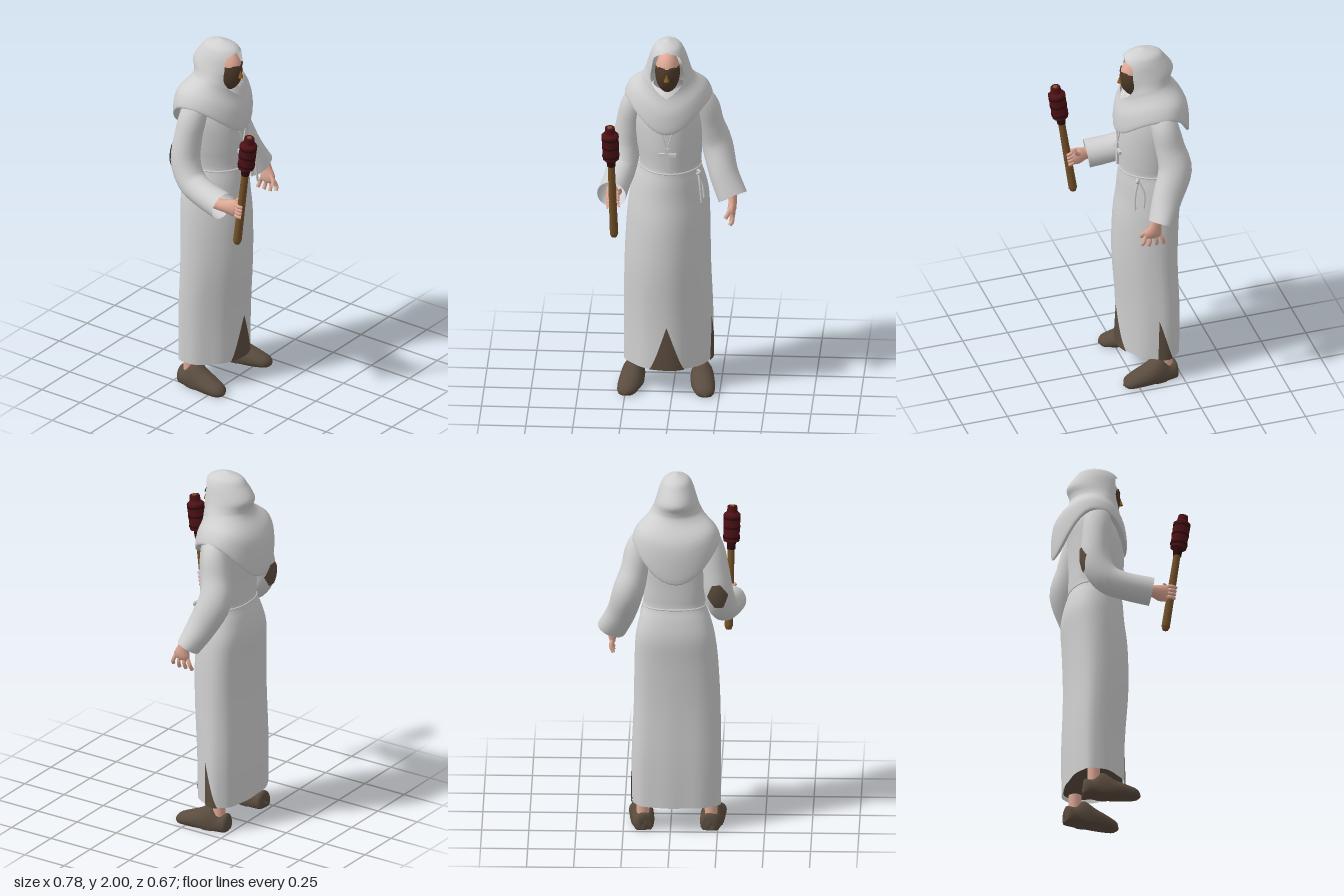
import * as THREE from 'three';
import { mergeVertices } from 'three/addons/utils/BufferGeometryUtils.js';

const TAU = Math.PI * 2;
const mat = (name, color, side = THREE.FrontSide) => {
  const m = new THREE.MeshStandardMaterial({ color, side });
  m.name = name;
  return m;
};
const V = (x, y, z) => new THREE.Vector3(x, y, z);

// Smooth interpolation through rows of numbers; t counts rows
function rowAt(rows, t) {
  const i = Math.min(Math.floor(t), rows.length - 2), f = t - i;
  const r = k => rows[Math.max(0, Math.min(rows.length - 1, k))];
  const [a, b, c, d] = [r(i - 1), r(i), r(i + 1), r(i + 2)];
  return b.map((p, k) => p + 0.5 * f * (c[k] - a[k] + f * (2 * a[k] - 5 * p + 4 * c[k] - d[k]
    + f * (3 * (p - c[k]) + d[k] - a[k]))));
}

// Surface from a function of (t, angle); span(t) gives the angle range
function sheet(fn, t0, t1, nt, na, span = () => [0, TAU]) {
  const pos = [], idx = [];
  for (let i = 0; i <= nt; i++) {
    const t = t0 + (t1 - t0) * i / nt, [a0, a1] = span(t);
    for (let j = 0; j <= na; j++) pos.push(...fn(t, a0 + (a1 - a0) * j / na).toArray());
  }
  for (let i = 0; i < nt; i++) for (let j = 0; j < na; j++) {
    const p = i * (na + 1) + j, q = p + na + 1;
    idx.push(p, p + 1, q + 1, p, q + 1, q);
  }
  let g = new THREE.BufferGeometry();
  g.setAttribute('position', new THREE.Float32BufferAttribute(pos, 3));
  g.setIndex(idx);
  g = mergeVertices(g, 1e-4);
  g.computeVertexNormals();
  return g;
}

// Limb surface: rows are [x, y, z, radius across x, other radius]
const limb = rows => (t, a, off = 0) => {
  const last = rows.length - 1, r = rowAt(rows, t);
  const p = rowAt(rows, Math.max(0, t - 0.1)), q = rowAt(rows, Math.min(last, t + 0.1));
  const d = V(q[0] - p[0], q[1] - p[1], q[2] - p[2]).normalize();
  const u = V(1, 0, 0).addScaledVector(d, -d.x).normalize(), w = d.clone().cross(u);
  return V(r[0], r[1], r[2])
    .addScaledVector(u, (Math.max(0, r[3]) + off) * Math.cos(a))
    .addScaledVector(w, (Math.max(0, r[4]) + off) * Math.sin(a));
};

// Robe body: rows are [centre x, y, centre z, half width, half depth]; angle 0 faces front,
// and the widest part sits behind the middle
const robeRows = [
  [-.035, .14, -.112, .235, .155], [-.032, .4, -.112, .237, .158], [-.035, .7, -.1, .23, .165],
  [-.03, .95, -.105, .222, .167], [-.025, 1.1, -.117, .21, .163], [-.022, 1.2, -.112, .187, .152],
  [-.02, 1.27, -.105, .165, .138], [-.02, 1.33, -.103, .167, .138], [-.025, 1.42, -.1, .175, .14],
  [-.03, 1.55, -.105, .18, .14], [-.03, 1.66, -.12, .155, .13], [-.03, 1.73, -.12, .08, .08]];
const robe = (t, a, off = 0) => {
  const [x, y, z, rx, rz] = rowAt(robeRows, t), s = Math.sin(a);
  const k = 1 + 0.015 * Math.max(0, 1 - t / 3) * Math.sin(9 * a);
  return V(x + (rx * k + off) * s, y, z + (rz * k + off) * Math.cos(a) - .21 * rx * s * s);
};

// Hood and cape: rows add [front drop, back drop, half angle of the face opening]
const hoodRows = [
  [-.03, 1.655, -.14, .2, .165, .13, .17, 0], [-.03, 1.66, -.14, .234, .196, .15, .2, 0],
  [-.03, 1.725, -.138, .208, .19, .11, .065, 0], [-.03, 1.78, -.115, .15, .139, .08, .005, 0],
  [-.03, 1.82, -.113, .125, .135, .08, 0, .75], [-.03, 1.87, -.115, .108, .148, .01, 0, .85],
  [-.03, 1.935, -.1, .087, .122, 0, 0, .75], [-.03, 1.975, -.1, .06, .085, 0, 0, -.5],
  [-.03, 2, -.1, 0, 0, 0, 0, 0]];
const hood = (t, a) => {
  const [x, y, z, rx, rz, df, db] = rowAt(hoodRows, t), c = Math.cos(a), s = Math.sin(a);
  const back = .03 * Math.max(0, Math.min(1, 3.5 - t));
  return V(x + rx * s, Math.min(2, y - (c > 0 ? df * c : db) * c * c), z + rz * c - back * s * s);
};

export function createModel() {
  const root = new THREE.Group();
  root.name = 'robedFigure';
  const cloth = mat('pale cloth', 0xd0d0d0, THREE.DoubleSide);
  const brown = mat('brown cloth', 0x5c4d3f, THREE.DoubleSide);
  const leather = mat('shoe leather', 0x5a4c3f);
  const skin = mat('skin', 0xdfa995);
  const beardMat = mat('beard', 0x4e3a2a);
  const gold = mat('ochre', 0x94621c);
  const wood = mat('wood', 0x75522a);
  const red = mat('dark red', 0x4e1115);
  const dark = mat('charred red', 0x2c0b0d);
  const add = (name, geo, material, parent = root) => {
    const m = new THREE.Mesh(geo, material);
    m.name = name;
    parent.add(m);
    return m;
  };
  const tube = (name, pts, r, material, closed = false) => add(name,
    new THREE.TubeGeometry(new THREE.CatmullRomCurve3(pts, closed), closed ? 48 : 12, r, 6, closed), material);

  // Robe with an inner lining and torn wedges at the hem
  add('robe', sheet(robe, 0, 11, 44, 48), cloth);
  add('robeLining', sheet((t, a) => robe(.12, a, -.01).lerp(V(-.035, .2, -.13), t), 0, 1, 2, 32), brown);
  const wedge = (name, a, w0, w1, top) => add(name, sheet((t, b) => robe(t, b, .006), 0, top, 10, 6,
    t => [a - w0 * (1 - t / top), a + w1 * (1 - t / top)]), brown);
  wedge('frontTear', .01, .38, .42, .96);
  wedge('sideTear', 1.3, .02, .48, .98);

  // Hood and cape
  add('hood', sheet(hood, 0, 8, 40, 40, t => {
    const g = Math.max(0, rowAt(hoodRows, t)[7]);
    return [g, TAU - g];
  }), cloth);

  // Head: bare brow above, beard and shadowed cheeks below
  const headPart = (name, t0, len, m) => {
    const h = add(name, new THREE.SphereGeometry(1, 20, 12, 0, TAU, t0, len), m);
    h.position.set(-.03, 1.83, -.057);
    h.scale.set(.066, .115, .085);
  };
  headPart('forehead', 0, 1.2, skin);
  headPart('beardedFace', 1.2, Math.PI - 1.2, beardMat);
  const nose = add('nose', new THREE.ConeGeometry(.016, .042, 6), gold);
  nose.position.set(-.03, 1.828, .029);
  for (const s of [-1, 1]) {
    const brow = add('brow', new THREE.BoxGeometry(.036, .012, .009), beardMat);
    brow.position.set(-.03 + s * .028, 1.872, .013);
    brow.rotation.set(-.3, s * .4, s * .2);
  }

  // Sleeves
  const leftRows = [[.11, 1.68, -.15, 0, 0], [.13, 1.66, -.15, .055, .06], [.165, 1.59, -.16, .075, .075],
    [.19, 1.48, -.18, .075, .08], [.225, 1.36, -.195, .083, .09], [.262, 1.22, -.14, .078, .08],
    [.315, 1.1, -.085, .08, .062]];
  const rightRows = [[-.17, 1.68, -.14, 0, 0], [-.19, 1.66, -.14, .055, .06], [-.215, 1.59, -.15, .07, .075],
    [-.235, 1.48, -.165, .075, .075], [-.255, 1.35, -.168, .078, .08], [-.275, 1.25, -.115, .078, .078],
    [-.295, 1.21, -.02, .075, .075], [-.317, 1.185, .12, .078, .077]];
  add('leftSleeve', sheet(limb(leftRows), 0, 6, 24, 20), cloth);
  add('rightSleeve', sheet(limb(rightRows), 0, 7, 28, 20), cloth);
  add('elbowPatch', sheet((t, a) => limb(rightRows)(t, a, .006), 3.5, 4.3, 8, 6, t => {
    const w = .75 * (1 - Math.abs(t - 3.9) * 1.6);
    return [4.75 - w, 4.75 + w];
  }), brown);

  // Thin belt with hanging ends
  tube('belt', Array.from({ length: 24 }, (_, i) => robe(6, i / 24 * TAU)), .005, cloth, true);
  tube('beltKnot', [V(.13, 1.28, -.02), V(.145, 1.27, -.01), V(.13, 1.255, -.02)], .009, cloth);
  for (const [x, z, y] of [[.145, -.005, 1.1], [.155, -.05, 1.11]])
    tube('beltEnd', [V(.135, 1.27, -.02), V(x, 1.2, z + .005), V(x + .01, y, z + .01)], .006, cloth);

  // Necklace and pendant cross
  for (const s of [-1, 1])
    tube('necklace', [V(-.028 + s * .035, 1.56, .033), V(-.028 + s * .025, 1.5, .04), V(-.028, 1.425, .044)], .004, cloth);
  add('pendantUpright', new THREE.BoxGeometry(.018, .135, .012), cloth).position.set(-.027, 1.36, .044);
  add('pendantBar', new THREE.BoxGeometry(.095, .018, .012), cloth).position.set(-.025, 1.387, .044);

  // Open left hand
  const leftPalm = [[.315, 1.15, -.07, .022, .03], [.316, 1.09, -.055, .022, .034], [.313, 1.05, -.045, .023, .046],
    [.308, 1.02, -.04, .015, .04], [.306, 1.012, -.04, 0, 0]];
  add('leftPalm', sheet(limb(leftPalm), 0, 4, 12, 12), skin);
  for (let i = 0; i < 4; i++) {
    const z = -.075 + i * .024;
    tube('leftFinger', [V(.31, 1.035, z), V(.318, 1, z - .02 + i * .011), V(.305, .967 + (i === 3) * .012, z - .028 + i * .016)], .0105, skin);
  }
  tube('leftThumb', [V(.31, 1.07, -.03), V(.295, 1.04, .004), V(.28, 1.015, .015)], .0115, skin);

  // Right hand reaching for the torch
  const rightPalm = [[-.317, 1.19, .06, .03, .03], [-.315, 1.19, .13, .03, .034], [-.305, 1.19, .17, .034, .046],
    [-.305, 1.19, .21, .026, .042], [-.305, 1.19, .22, 0, 0]];
  add('rightPalm', sheet(limb(rightPalm), 0, 4, 12, 12), skin);
  tube('rightThumb', [V(-.285, 1.21, .17), V(-.268, 1.235, .195), V(-.272, 1.262, .205)], .011, skin);

  // Torch, leaning forward, with gripping fingers
  const torch = new THREE.Group();
  torch.name = 'torch';
  torch.position.set(-.298, .98, .2);
  torch.quaternion.setFromUnitVectors(V(0, 1, 0), V(-.018, .67, .095).normalize());
  root.add(torch);
  const drum = (name, y0, y1, r0, r1, m) =>
    add(name, new THREE.CylinderGeometry(r1, r0, y1 - y0, 10), m, torch).position.y = (y0 + y1) / 2;
  drum('torchButt', 0, .02, .015, .023, wood);
  drum('torchShaft', .02, .46, .023, .019, wood);
  drum('torchNeck', .44, .485, .023, .026, dark);
  drum('torchHead', .485, .63, .044, .047, red);
  drum('torchCap', .63, .645, .047, .03, red);
  drum('torchTip', .645, .677, .03, .026, red);
  drum('torchCore', .677, .681, .014, .012, wood);
  for (const y of [.5, .555, .605]) drum('charBand', y, y + .012, .0468, .0476, dark);
  for (let i = 0; i < 4; i++) {
    const f = add('rightFinger', new THREE.TorusGeometry(.027, .0095, 6, 14, 4.2), skin, torch);
    f.position.y = .183 + i * .021;
    f.rotation.set(Math.PI / 2, 0, 2.4);
  }

  // Shoes with a high instep and flat sole, and ankles, mirrored about the body's middle
  const shoeRows = [[.14, .03, -.228, 0, 0], [.141, .03, -.222, .045, .06], [.145, .03, -.18, .058, .06],
    [.15, .03, -.125, .062, .105], [.158, .03, -.06, .064, .065], [.168, .025, 0, .058, .045],
    [.178, .015, .055, .042, .03], [.18, .01, .08, 0, 0]];
  for (const side of ['left', 'right']) {
    const flip = x => side === 'left' ? x : -.068 - x;
    const shoe = limb(shoeRows.map(([x, ...rest]) => [flip(x), ...rest]));
    add(side + 'Shoe', sheet((t, a) => {
      const p = shoe(t, a);
      p.y = Math.max(0, p.y);
      return p;
    }, 0, 7, 28, 20), leather);
    add(side + 'Ankle', new THREE.CylinderGeometry(.035, .034, .1, 12), skin).position.set(flip(.147), .11, -.17);
  }
  return root;
}
